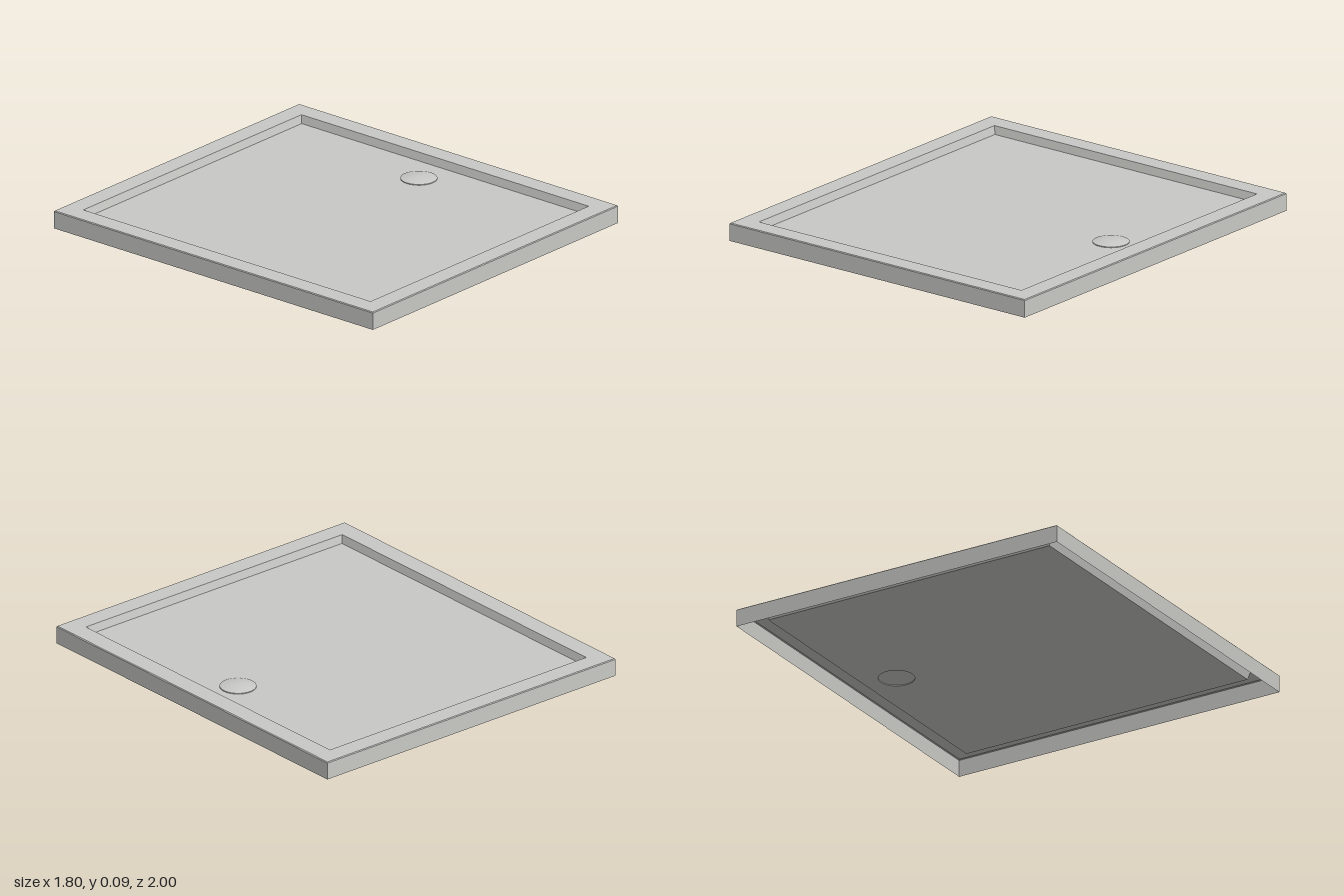
import * as THREE from 'three';

// Skin of flat-shaded quads joining rectangular rings [halfWidth, halfDepth, y]
function rectangleLoft(rings) {
  const corners = [[1, 1], [1, -1], [-1, -1], [-1, 1]];
  const positions = [];
  const point = ([hx, hz, y], k) => [corners[k % 4][0] * hx, y, corners[k % 4][1] * hz];
  for (let r = 0; r < rings.length - 1; r++) {
    for (let k = 0; k < 4; k++) {
      const a = point(rings[r], k), b = point(rings[r], k + 1);
      const c = point(rings[r + 1], k + 1), d = point(rings[r + 1], k);
      positions.push(...a, ...b, ...c, ...a, ...c, ...d);
    }
  }
  const geometry = new THREE.BufferGeometry();
  geometry.setAttribute('position', new THREE.Float32BufferAttribute(positions, 3));
  geometry.computeVertexNormals();
  return geometry;
}

export function createModel() {
  const model = new THREE.Group();
  model.name = 'showerTray';
  const enamel = new THREE.MeshStandardMaterial({ color: 0xc8c8c5, side: THREE.DoubleSide });
  enamel.name = 'pale grey enamel';

  const add = (name, geometry) => {
    const mesh = new THREE.Mesh(geometry, enamel);
    mesh.name = name;
    model.add(mesh);
    return mesh;
  };

  const floorY = 0.05, drainX = 0.62, drainZ = -0.01, drainR = 0.088;

  // Outer skirt, softened edge, flat rim and sloping inner wall; open underneath
  add('rim', rectangleLoft([
    [0.9, 1, 0], [0.9, 1, 0.086], [0.896, 0.996, 0.09],
    [0.8, 0.9, 0.09], [0.79, 0.89, floorY],
  ]));

  // Sunken floor with a round opening for the drain
  const floorShape = new THREE.Shape([
    new THREE.Vector2(-0.79, -0.89), new THREE.Vector2(0.79, -0.89),
    new THREE.Vector2(0.79, 0.89), new THREE.Vector2(-0.79, 0.89),
  ]);
  const opening = new THREE.Path();
  opening.absarc(drainX, -drainZ, drainR, 0, Math.PI * 2, true);
  floorShape.holes.push(opening);
  add('floor', new THREE.ShapeGeometry(floorShape, 24).rotateX(-Math.PI / 2)).position.y = floorY;

  // Shallow domed drain cover on a short collar
  const collarH = 0.004, domeH = 0.012;
  add('drainCollar', new THREE.CylinderGeometry(drainR, drainR, collarH, 48, 1, true))
    .position.set(drainX, floorY + collarH / 2, drainZ);
  const profile = [];
  for (let i = 0; i <= 8; i++) {
    const t = 1 - i / 8;
    profile.push(new THREE.Vector2(drainR * t, domeH * (1 - t * t)));
  }
  add('drainCover', new THREE.LatheGeometry(profile, 48))
    .position.set(drainX, floorY + collarH, drainZ);

  return model;
}
